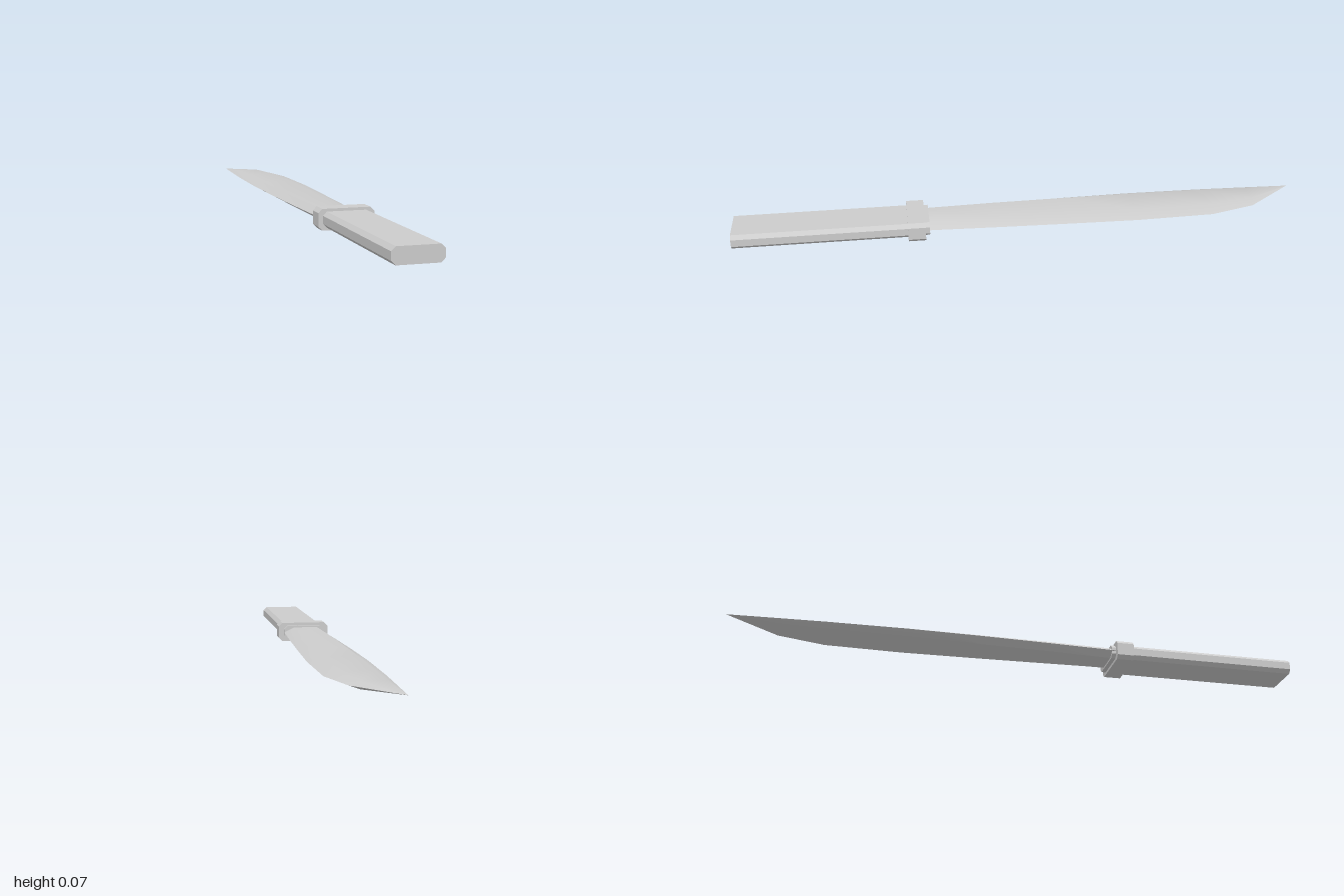
import * as THREE from 'three';
import { toCreasedNormals } from 'three/addons/utils/BufferGeometryUtils.js';

const MID = 0.037; // height of the knife's centre plane

// Bar along z with a chamfered rectangular section
function chamferedBar(name, w, h, c, z0, z1, material) {
  const a = w / 2, b = h / 2;
  const section = new THREE.Shape([
    [a, -b + c], [a, b - c], [a - c, b], [-a + c, b],
    [-a, b - c], [-a, -b + c], [-a + c, -b], [a - c, -b],
  ].map(([x, y]) => new THREE.Vector2(x, y)));
  const geometry = new THREE.ExtrudeGeometry(section, { depth: z1 - z0, bevelEnabled: false });
  const mesh = new THREE.Mesh(geometry, material);
  mesh.position.set(-0.001, MID, z0);
  mesh.name = name;
  return mesh;
}

// Blade lofted through six-sided sections, sharp on both edges
function bladeGeometry() {
  // z, spine x, spine ridge x, bevel ridge x, cutting edge x, half thickness
  const stations = [
    [0.36, -0.077, -0.05, 0.035, 0.073, 0.019],
    [0.10, -0.088, -0.06, 0.038, 0.083, 0.018],
    [-0.15, -0.096, -0.065, 0.042, 0.091, 0.017],
    [-0.40, -0.1, -0.068, 0.044, 0.097, 0.016],
    [-0.67, -0.096, -0.066, 0.04, 0.09, 0.014],
    [-0.83, -0.09, -0.066, 0.012, 0.046, 0.012],
    [-1.00, -0.083, -0.083, -0.083, -0.083, 0],
  ];
  const positions = [], index = [], n = 6;
  for (const [z, spine, ridgeA, ridgeB, edge, t] of stations) {
    for (const [x, y] of [[spine, 0], [ridgeA, -t], [ridgeB, -t], [edge, 0], [ridgeB, t], [ridgeA, t]]) {
      positions.push(x, MID + y, z);
    }
  }
  for (let s = 0; s < stations.length - 1; s++) {
    for (let i = 0; i < n; i++) {
      const a = s * n + i, b = s * n + (i + 1) % n;
      index.push(a, a + n, b);
      if (s < stations.length - 2) index.push(b, a + n, b + n);
    }
  }
  const geometry = new THREE.BufferGeometry();
  geometry.setAttribute('position', new THREE.Float32BufferAttribute(positions, 3));
  geometry.setIndex(index);
  return toCreasedNormals(geometry, 0.5);
}

export function createModel() {
  const knife = new THREE.Group();
  knife.name = 'knife';
  const grey = new THREE.MeshStandardMaterial({ color: 0xcccccc });
  grey.name = 'lightGrey';

  const blade = new THREE.Mesh(bladeGeometry(), grey);
  blade.name = 'blade';
  knife.add(
    chamferedBar('handle', 0.158, 0.052, 0.013, 0.4, 1, grey),
    chamferedBar('guard', 0.188, 0.07, 0.013, 0.342, 0.402, grey),
    chamferedBar('collar', 0.15, 0.05, 0.013, 0.327, 0.345, grey),
    blade,
  );
  // Rest the guard on the ground
  knife.children.forEach((part) => { part.position.y -= 0.002; });
  return knife;
}
